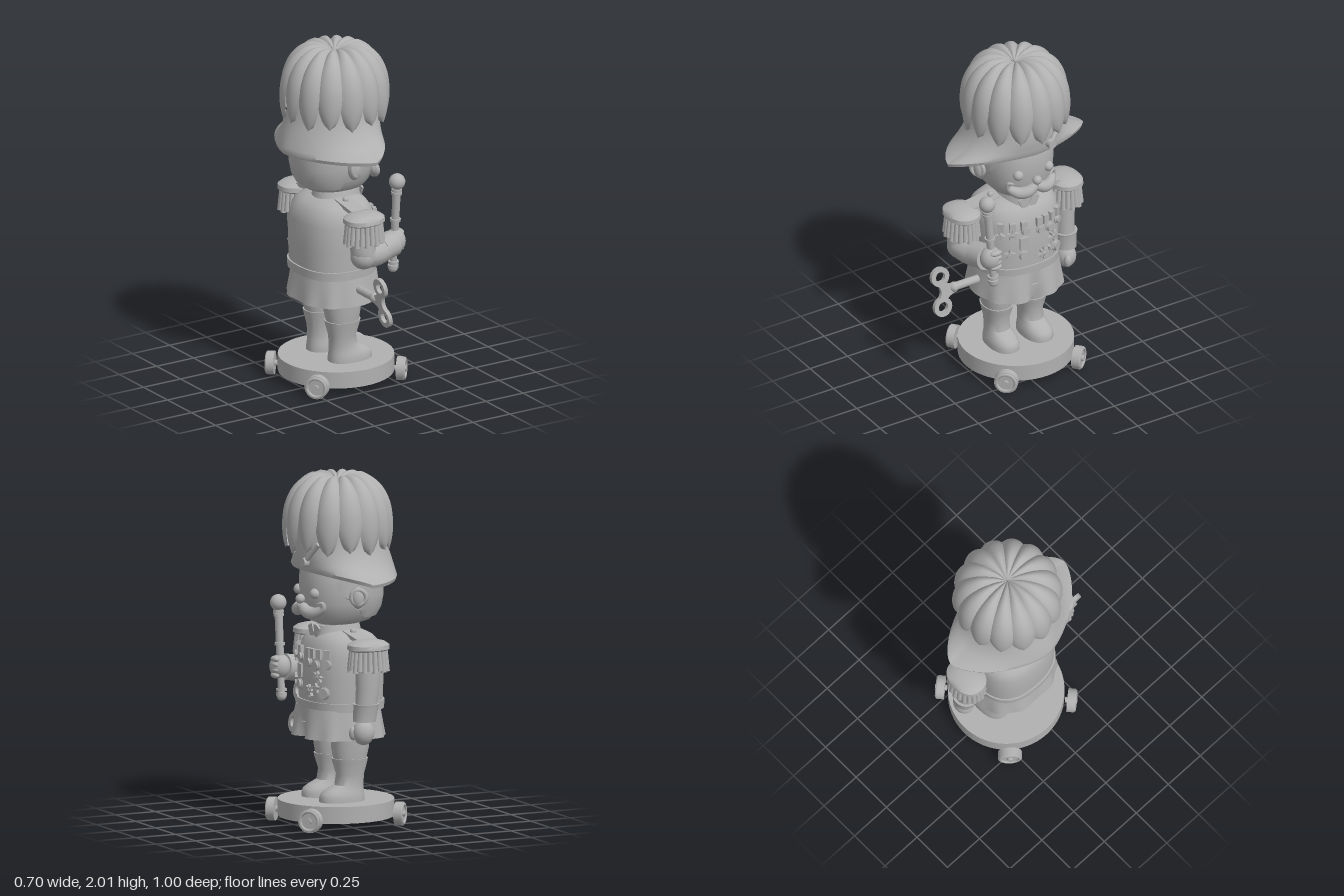
import * as THREE from 'three';
import { toCreasedNormals } from 'three/addons/utils/BufferGeometryUtils.js';

const grey = new THREE.MeshStandardMaterial({ color: 0xb0b0b0, side: THREE.DoubleSide });
grey.name = 'plain grey';
const V = (x, y, z) => new THREE.Vector3(x, y, z);
const spow = (v, p) => Math.sign(v) * Math.abs(v) ** p;

// Grid surface from a point rule: rows bottom to top, closed around
function skin(rows, segs, point, crease = 0.8) {
  const pos = [], idx = [];
  for (let i = 0; i < rows; i++) for (let j = 0; j < segs; j++) pos.push(...point(i, (j / segs) * Math.PI * 2));
  for (let i = 0; i < rows - 1; i++) for (let j = 0; j < segs; j++) {
    const k = (j + 1) % segs, a = i * segs + j, b = i * segs + k, c = a + segs, d = b + segs;
    idx.push(a, c, b, b, c, d);
  }
  const g = new THREE.BufferGeometry();
  g.setAttribute('position', new THREE.Float32BufferAttribute(pos, 3));
  g.setIndex(idx);
  return toCreasedNormals(g, crease);
}

// Stacked superellipses: [y, half width, half depth, centre z]
const loft = (rows, e = 2, cx = 0, segs = 40) => skin(rows.length, segs, (i, a) => {
  const [y, w, d, cz = 0] = rows[i];
  return [cx + w * spow(Math.cos(a), 2 / e), y, cz + d * spow(Math.sin(a), 2 / e)];
});

// Tube along points whose radius follows a rule
function taperTube(pts, radius, n = 24, sides = 12) {
  const curve = new THREE.CatmullRomCurve3(pts.map(p => V(...p)));
  const g = new THREE.TubeGeometry(curve, n, 1, sides), p = g.attributes.position, v = V();
  for (let i = 0; i <= n; i++) {
    const c = curve.getPointAt(i / n);
    for (let j = 0; j <= sides; j++) {
      const k = i * (sides + 1) + j;
      v.fromBufferAttribute(p, k).sub(c).multiplyScalar(radius(i / n)).add(c);
      p.setXYZ(k, v.x, v.y, v.z);
    }
  }
  return g;
}

function starShape(r, points = 5) {
  const s = new THREE.Shape();
  for (let i = 0; i < points * 2; i++) {
    const a = Math.PI / 2 + (i * Math.PI) / points, q = i % 2 ? r * 0.5 : r;
    s[i ? 'lineTo' : 'moveTo'](q * Math.cos(a), q * Math.sin(a));
  }
  return s;
}

export function createModel() {
  const body = new THREE.Group();
  const add = (name, geo, x = 0, y = 0, z = 0, parent = body) => {
    const m = new THREE.Mesh(geo, grey);
    m.name = name;
    m.position.set(x, y, z);
    parent.add(m);
    return m;
  };
  const ball = (name, r, x, y, z, sx = 1, sy = 1, sz = 1) => {
    const m = add(name, new THREE.SphereGeometry(r, 24, 16), x, y, z);
    m.scale.set(sx, sy, sz);
    return m;
  };
  const rod = (name, r, a, b, r2 = r) => {
    const A = V(...a), B = V(...b), m = add(name, new THREE.CylinderGeometry(r2, r, A.distanceTo(B), 20));
    m.position.copy(A).lerp(B, 0.5);
    m.quaternion.setFromUnitVectors(V(0, 1, 0), B.sub(A).normalize());
    return m;
  };

  // Rolling base
  add('base', new THREE.CylinderGeometry(0.33, 0.33, 0.097, 64), 0, 0.0985, 0.01);
  for (const deg of [49.7, -49.7, 130.3, -130.3]) {
    const w = new THREE.Group();
    w.name = 'wheelMount';
    w.position.set(0, 0.07, 0.01);
    w.rotation.y = (deg * Math.PI) / 180;
    body.add(w);
    add('wheel', new THREE.CylinderGeometry(0.068, 0.068, 0.042, 28), 0.37, 0, 0, w).rotation.z = Math.PI / 2;
    add('wheelRim', new THREE.TorusGeometry(0.055, 0.01, 8, 28), 0.391, 0, 0, w).rotation.y = Math.PI / 2;
    add('hub', new THREE.CylinderGeometry(0.017, 0.017, 0.07, 16), 0.37, 0, 0, w).rotation.z = Math.PI / 2;
  }

  // Legs and boots
  for (const s of [-1, 1]) {
    add('leg', loft([[0.37, 0.078, 0.092, -0.02], [0.45, 0.09, 0.108, -0.022], [0.64, 0.098, 0.115, -0.022]], 2.2, s * 0.112));
    add('boot', loft([[0.147, 0, 0, 0.03], [0.147, 0.085, 0.134, 0.03], [0.17, 0.085, 0.134, 0.03], [0.195, 0.08, 0.128, 0.027],
      [0.215, 0.072, 0.112, 0.012], [0.24, 0.066, 0.083, -0.015], [0.3, 0.068, 0.08, -0.022], [0.37, 0.083, 0.1, -0.02],
      [0.392, 0.087, 0.104, -0.02], [0.392, 0.07, 0.08, -0.02]], 2.3, s * 0.112));
  }

  // Pleated coat skirt, belt and jacket
  add('coatSkirt', skin(8, 120, (i, a) => {
    const t = i / 7, flare = 1 - t;
    const k = 1 + flare * (0.022 * Math.cos(10 * a) - 0.16 * Math.exp(-(((a - Math.PI / 2) / 0.09) ** 2)));
    return [(0.242 + 0.023 * flare) * k * spow(Math.cos(a), 0.8), 0.512 + 0.17 * t, -0.005 + (0.22 + 0.028 * flare) * k * spow(Math.sin(a), 0.8)];
  }));
  add('skirtLining', loft([[0.6, 0, 0], [0.6, 0.24, 0.22]], 2.5));
  add('belt', loft([[0.672, 0.23, 0.2, -0.02], [0.672, 0.25, 0.228, -0.02], [0.722, 0.252, 0.23, -0.02], [0.722, 0.23, 0.2, -0.02]], 2.5));
  add('jacket', loft([[0.68, 0.242, 0.218, -0.02], [0.85, 0.25, 0.224, -0.02], [0.98, 0.247, 0.216, -0.02], [1.05, 0.237, 0.198, -0.02],
    [1.09, 0.21, 0.165, -0.015], [1.11, 0.165, 0.13, -0.01], [1.125, 0.09, 0.09, 0]], 2.5));
  add('collar', loft([[1.08, 0.12, 0.145, 0.005], [1.15, 0.1, 0.135, 0.01], [1.15, 0.08, 0.11, 0.01]], 2.3));
  for (const s of [-1, 1]) {
    const lapel = add('collarTab', new THREE.BoxGeometry(0.05, 0.07, 0.012), s * 0.032, 1.115, 0.147);
    lapel.rotation.z = s * -0.45;
  }

  // Medals laid on the chest curve
  const chestZ = x => -0.02 + 0.222 * (1 - (Math.abs(x) / 0.25) ** 2.5) ** 0.4;
  const place = (name, geo, x, y, turn = 0) => {
    const m = add(name, geo, x, y, chestZ(x));
    m.rotation.y = Math.atan2(chestZ(x - 0.01) - chestZ(x + 0.01), 0.02);
    if (turn) m.rotateX(turn);
  };
  const star = (x, y, r) => {
    place('starMedal', new THREE.ExtrudeGeometry(starShape(r, r > 0.035 ? 8 : 5), { depth: 0.018, bevelEnabled: false }), x, y);
    place('starBoss', new THREE.SphereGeometry(r * 0.62, 12, 8), x, y);
  };
  const disc = (x, y, r) => {
    place('roundMedal', new THREE.CylinderGeometry(r, r, 0.035, 20), x, y, Math.PI / 2);
    place('medalRim', new THREE.TorusGeometry(r, 0.006, 6, 20), x, y);
  };
  for (const x of [-0.19, -0.13, -0.065, 0.035, 0.08, 0.13, 0.18])
    place('ribbon', new THREE.BoxGeometry(0.036, 0.055, 0.022), x, 1.0);
  [[-0.19, 0.945, 0.03], [-0.13, 0.955, 0.035], [0.13, 0.87, 0.036], [-0.145, 0.825, 0.032], [0.06, 0.785, 0.038], [0.115, 0.805, 0.03]].forEach(p => star(...p));
  [[-0.055, 0.965, 0.022], [0.045, 0.945, 0.023], [0.11, 0.935, 0.024], [0.18, 0.945, 0.023], [-0.065, 0.805, 0.026], [0.165, 0.78, 0.03]].forEach(p => disc(...p));
  place('longRibbon', new THREE.BoxGeometry(0.052, 0.075, 0.022), -0.065, 0.885);

  // Epaulettes with fringe
  for (const s of [-1, 1]) {
    const cx = s * 0.342;
    add('epaulette', loft([[1.04, 0.085, 0.11, -0.023], [1.05, 0.097, 0.122, -0.023], [1.075, 0.095, 0.12, -0.023],
      [1.092, 0.075, 0.095, -0.023], [1.102, 0.04, 0.05, -0.023], [1.104, 0, 0, -0.023]], 2.3, cx));
    for (let i = 0; i < 22; i++) {
      const a = (i / 22) * Math.PI * 2, x = Math.cos(a), z = Math.sin(a);
      rod('fringe', 0.016, [cx + 0.088 * x, 0.92 + 0.012 * (i % 2), -0.023 + 0.11 * z], [cx + 0.078 * x, 1.05, -0.023 + 0.1 * z], 0.013);
    }
    const strap = add('shoulderStrap', new THREE.BoxGeometry(0.18, 0.022, 0.1), s * 0.2, 1.1, -0.023);
    strap.rotation.z = s * -0.14;
    ball('strapButton', 0.018, s * 0.15, 1.122, -0.023);
  }

  // Hanging arm
  add('hangingArm', loft([[0.72, 0.056, 0.062, -0.01], [0.82, 0.06, 0.068, -0.02], [0.95, 0.063, 0.075, -0.023], [1.06, 0.06, 0.075, -0.023]], 2, 0.337));
  add('cuff', loft([[0.635, 0.05, 0.05, 0], [0.635, 0.062, 0.066, 0], [0.72, 0.068, 0.072, -0.01], [0.735, 0.072, 0.076, -0.01], [0.735, 0.05, 0.05, -0.01]], 2, 0.337));
  ball('hand', 0.06, 0.337, 0.57, 0.005, 0.95, 1.2, 1.05);
  ball('thumb', 0.026, 0.315, 0.565, 0.06, 0.9, 1.5, 0.9);

  // Bent arm with baton
  add('bentArm', taperTube([[-0.337, 1.05, -0.023], [-0.345, 0.93, -0.03], [-0.348, 0.855, -0.022], [-0.34, 0.842, 0.05], [-0.315, 0.858, 0.16]], t => 0.07 + 0.005 * Math.sin(t * Math.PI)));
  ball('elbow', 0.075, -0.348, 0.842, -0.03);
  rod('cuff', 0.072, [-0.328, 0.852, 0.1], [-0.308, 0.866, 0.19], 0.076);
  ball('hand', 0.064, -0.297, 0.872, 0.215, 1, 1.1, 0.95);
  for (let i = 0; i < 4; i++) ball('finger', 0.021, -0.285, 0.825 + i * 0.031, 0.253, 1.8, 0.85, 1);
  const at = y => [-0.277 - ((y - 0.7) / 0.54) * 0.043, y, 0.215];
  rod('baton', 0.02, at(0.71), at(1.2), 0.024);
  ball('batonKnob', 0.047, ...at(1.235));
  for (const y of [0.715, 0.74, 1.0, 1.165, 1.185]) rod('batonRing', 0.031, at(y - 0.008), at(y + 0.008));
  ball('batonFoot', 0.028, ...at(0.705));

  // Head, hair and face
  add('head', loft([[1.15, 0, 0, -0.01], [1.155, 0.1, 0.12, -0.005], [1.175, 0.15, 0.175, -0.01], [1.215, 0.185, 0.208, -0.015],
    [1.28, 0.207, 0.228, -0.02], [1.36, 0.213, 0.235, -0.02], [1.45, 0.212, 0.23, -0.02], [1.55, 0.18, 0.2, -0.02]], 2.3));
  const hair = [[1.195, 0.165, 0.18], [1.2, 0.185, 0.2], [1.25, 0.207, 0.228], [1.32, 0.219, 0.24], [1.4, 0.221, 0.24], [1.5, 0.21, 0.23]];
  add('hair', skin(hair.length, 48, (i, a) => {
    const [y, w, d] = hair[i], s = Math.sin(a);
    return [w * spow(Math.cos(a), 0.87), Math.max(y, 1.2 + 0.25 * Math.max(0, s + 0.2)), -0.02 + (s > 0 ? d * 0.88 : d) * spow(s, 0.87)];
  }));
  ball('nose', 0.027, 0, 1.305, 0.237);
  for (const s of [-1, 1]) {
    ball('ear', 0.055, s * 0.228, 1.325, -0.015, 0.6, 1.15, 0.7);
    const rim = add('earRim', new THREE.TorusGeometry(0.042, 0.013, 8, 24), s * 0.243, 1.33, -0.012);
    rim.rotation.y = s * 1.1;
    ball('eye', 0.03, s * 0.1, 1.345, 0.195);
    add('moustache', taperTube([[0, 1.262, 0.222], [s * 0.055, 1.238, 0.222], [s * 0.105, 1.235, 0.2], [s * 0.148, 1.265, 0.165],
      [s * 0.147, 1.293, 0.17], [s * 0.122, 1.288, 0.187]], t => 0.006 + 0.03 * Math.sin(Math.PI * Math.min(1, 0.25 + t * 0.78)) ** 1.2));
  }

  // Two-pointed hat: [y, half width, back, front, front lift, roundness]
  const hat = [[1.48, 0.19, 0.21, 0.2, 0, 2], [1.41, 0.44, 0.335, 0.23, 0.06, 1.55], [1.43, 0.446, 0.343, 0.24, 0.06, 1.55],
    [1.452, 0.4, 0.338, 0.242, 0.06, 1.6], [1.485, 0.335, 0.328, 0.246, 0.05, 1.75], [1.55, 0.28, 0.305, 0.25, 0.03, 1.9],
    [1.63, 0.25, 0.275, 0.245, 0, 2], [1.74, 0.235, 0.25, 0.235, 0, 2], [1.86, 0.18, 0.19, 0.18, 0, 2], [1.9, 0, 0, 0, 0, 2]];
  add('hat', skin(hat.length, 72, (i, a) => {
    const [y, w, b, f, lift, e] = hat[i], s = Math.sin(a);
    return [w * spow(Math.cos(a), 2 / e), y + lift * Math.max(0, s), (s > 0 ? f : b) * spow(s, 2 / e)];
  }));
  rod('hatLoop', 0.014, [0.08, 1.525, 0.25], [0.18, 1.64, 0.21]);
  const button = rod('hatButton', 0.027, [0.082, 1.527, 0.235], [0.086, 1.527, 0.268]);
  button.name = 'hatButton';

  // Drooping feather plume
  const arc = new THREE.CatmullRomCurve3([[0, 1.965], [0.07, 1.988], [0.15, 1.978], [0.225, 1.925], [0.272, 1.84], [0.29, 1.74], [0.288, 1.65], [0.272, 1.575]].map(p => V(p[0], p[1], 0)));
  const N = 14, T = 28, S = 12;
  for (let f = 0; f < N; f++) {
    const g = new THREE.PlaneGeometry(1, 1, S, T), p = g.attributes.position, long = f % 2 ? 0.97 : 1;
    for (let i = 0; i < p.count; i++) {
      const s = p.getX(i) * 2, t = 0.5 - p.getY(i);
      const c = arc.getPointAt(t * long), n = arc.getTangentAt(t * long);
      const half = (Math.PI / N) * 1.12 * (t < 0.66 ? 1 : Math.sqrt(Math.max(0, 1 - ((t - 0.66) / 0.34) ** 1.8)));
      const a = (f / N) * Math.PI * 2 + s * half, bulge = 0.032 * (1 - s * s) * Math.min(1, t * 4) * (1 - 0.35 * t) + s * 0.005;
      const r = c.x - n.y * bulge;
      p.setXYZ(i, r * Math.sin(a), c.y + n.x * bulge, r * Math.cos(a));
    }
    g.computeVertexNormals();
    add('feather', g);
  }

  // Wind-up key in the side
  rod('keyShaft', 0.024, [-0.22, 0.605, 0.005], [-0.41, 0.605, 0.005]);
  ball('keyBoss', 0.03, -0.41, 0.605, 0.005);
  const key = new THREE.Group();
  key.name = 'key';
  key.position.set(-0.49, 0.6, 0.005);
  key.rotation.x = -0.17;
  body.add(key);
  for (const s of [-1, 1]) {
    const ring = new THREE.Shape().absarc(0, 0, 0.058, 0, Math.PI * 2);
    ring.holes.push(new THREE.Path().absarc(0, 0, 0.03, 0, Math.PI * 2, true));
    add('keyRing', new THREE.ExtrudeGeometry(ring, { depth: 0.024, bevelEnabled: false, curveSegments: 24 }), -0.007, s * 0.093, -0.012, key);
  }
  const web = new THREE.Shape().moveTo(0.02, 0.06);
  web.quadraticCurveTo(0.045, 0.025, 0.09, 0.024).lineTo(0.09, -0.024).quadraticCurveTo(0.045, -0.025, 0.02, -0.06);
  web.lineTo(-0.03, -0.045).quadraticCurveTo(0.01, 0, -0.03, 0.045);
  add('keyWeb', new THREE.ExtrudeGeometry(web, { depth: 0.024, bevelEnabled: false }), 0, 0, -0.012, key);

  // The figure looks toward +x
  body.name = 'toySoldier';
  body.rotation.y = Math.PI / 2;
  body.position.z = -0.055;
  const model = new THREE.Group();
  model.add(body);
  return model;
}
